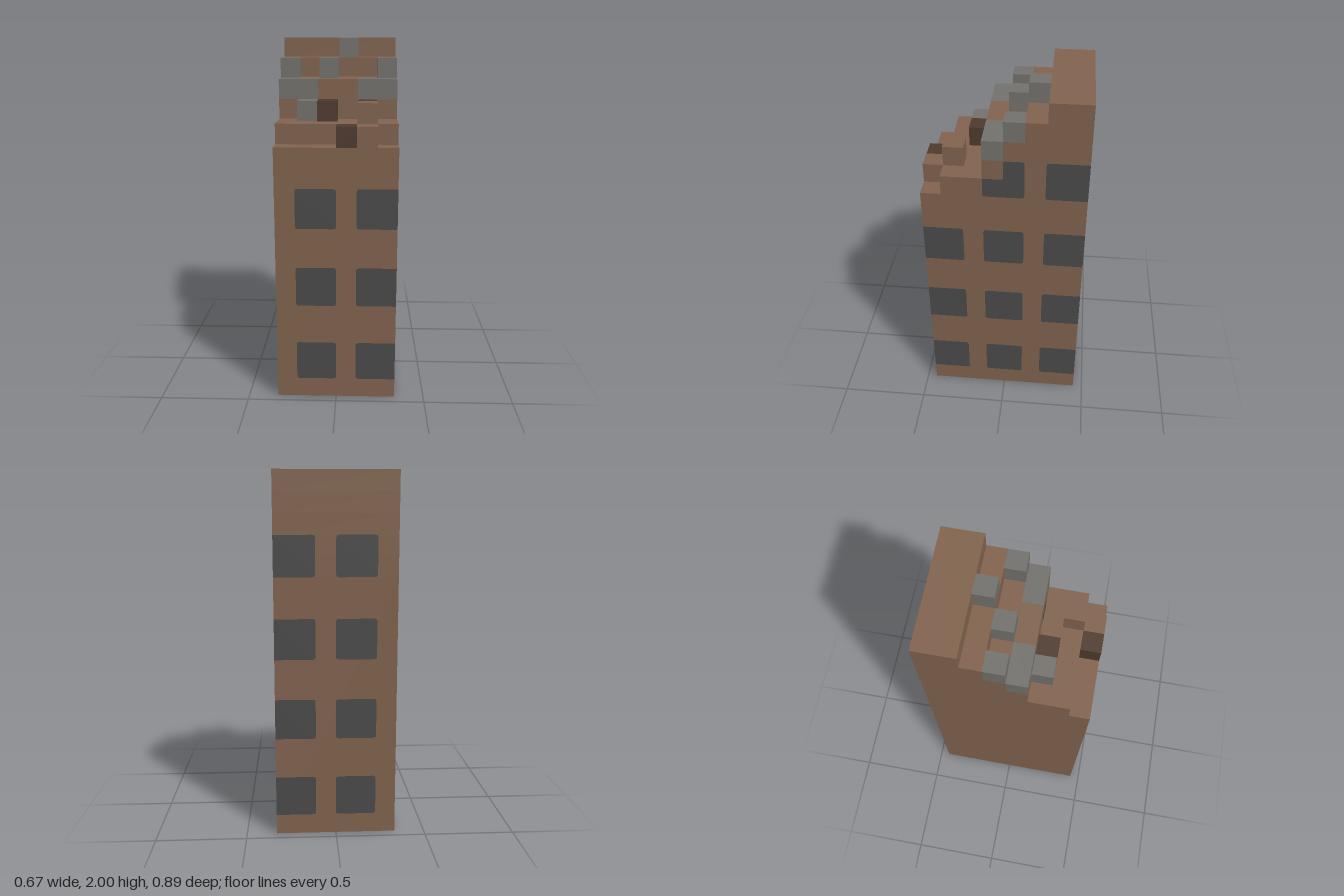
import * as THREE from 'three';

const U = 1 / 9; // one block

const mat = (name, color) => {
  const m = new THREE.MeshStandardMaterial({ color });
  m.name = name;
  return m;
};

export function createModel() {
  const model = new THREE.Group();
  model.name = 'ruinedTower';
  const brown = mat('brownWall', 0x80624d);
  const grey = mat('greyRubble', 0x72706c);
  const dark = mat('darkBrownRubble', 0x4e3a2e);
  const glass = mat('darkWindow', 0x4a4a4a);

  // Box between two corners given in blocks
  function block(name, material, x0, x1, y0, y1, z0, z1) {
    const geo = new THREE.BoxGeometry((x1 - x0) * U, (y1 - y0) * U, (z1 - z0) * U);
    const mesh = new THREE.Mesh(geo, material);
    mesh.position.set((x0 + x1) * U / 2, (y0 + y1) * U / 2, (z0 + z1) * U / 2);
    mesh.name = name;
    model.add(mesh);
  }

  // Main tower, then storeys stepping back towards the rear
  block('towerBody', brown, -3, 3, 0, 13, -4, 4);
  [3, 1, 0, -1, -2].forEach((front, i) =>
    block('brokenStep', brown, -3, 3, 13 + i, 14 + i, -4, front));

  // Loose blocks on the steps: material, x0, x1, y, z
  const rubble = [
    [dark, 0, 1, 13, 3], [brown, 1, 2, 13, 3],
    [grey, -2, -1, 14, 1], [dark, -1, 0, 14, 1], [brown, 1, 2, 14, 2],
    [grey, -3, -1, 15, 0], [brown, -1, 1, 15, 0], [grey, 1, 3, 15, 0],
    [grey, -3, -2, 16, -1], [grey, -1, 0, 16, -1], [grey, 2, 3, 16, -1],
    [grey, 0, 1, 17, -2],
  ];
  for (const [m, x0, x1, y, z] of rubble) block('rubbleBlock', m, x0, x1, y, y + 1, z, z + 1);

  // Window outline in blocks; corners are rounded except on the facade edge
  function pane(points, edge) {
    const shape = new THREE.Shape();
    const pts = points.map(([x, y]) => new THREE.Vector2(x * U, y * U));
    pts.forEach((p, i) => {
      const r = Math.abs(points[i][0]) === edge ? 0 : 0.016;
      const prev = pts[(i + pts.length - 1) % pts.length];
      const next = pts[(i + 1) % pts.length];
      const a = p.clone().add(prev.clone().sub(p).setLength(r));
      const b = p.clone().add(next.clone().sub(p).setLength(r));
      if (i === 0) shape.moveTo(a.x, a.y);
      else shape.lineTo(a.x, a.y);
      if (r) shape.quadraticCurveTo(p.x, p.y, b.x, b.y);
    });
    shape.closePath();
    return new THREE.ShapeGeometry(shape, 4);
  }
  const rect = (x0, x1, y0, y1) => [[x0, y0], [x1, y0], [x1, y1], [x0, y1]];

  // Each facade is drawn in its own plane, then turned to its side
  function facade(name, angle, distance, edge, outlines) {
    const group = new THREE.Group();
    group.name = name;
    group.rotation.y = angle;
    for (const outline of outlines) {
      const mesh = new THREE.Mesh(pane(outline, edge), glass);
      mesh.name = 'window';
      mesh.position.z = distance * U + 0.002;
      group.add(mesh);
    }
    model.add(group);
  }
  const grid = (columns, rows) =>
    rows.flatMap((y) => columns.map((x) => rect(x, x + 2, y, y + 2)));

  facade('frontWindows', 0, 4, 3, grid([-2, 1], [1, 5, 9]));
  facade('backWindows', Math.PI, 4, 3, grid([-3, 0], [1, 5, 9, 13]));
  facade('leftWindows', Math.PI / 2, 3, 4, [
    ...grid([-4, -1, 2], [1, 5, 9]),
    rect(2, 4, 13, 15),
    // window with a broken upper corner
    [[-1, 13], [1, 13], [1, 15], [0, 15], [0, 14], [-1, 14]],
  ]);
  // Remains of a window on the inner step wall
  facade('innerWindow', 0, 1, 3, [rect(1, 2, 14, 15)]);

  return model;
}
